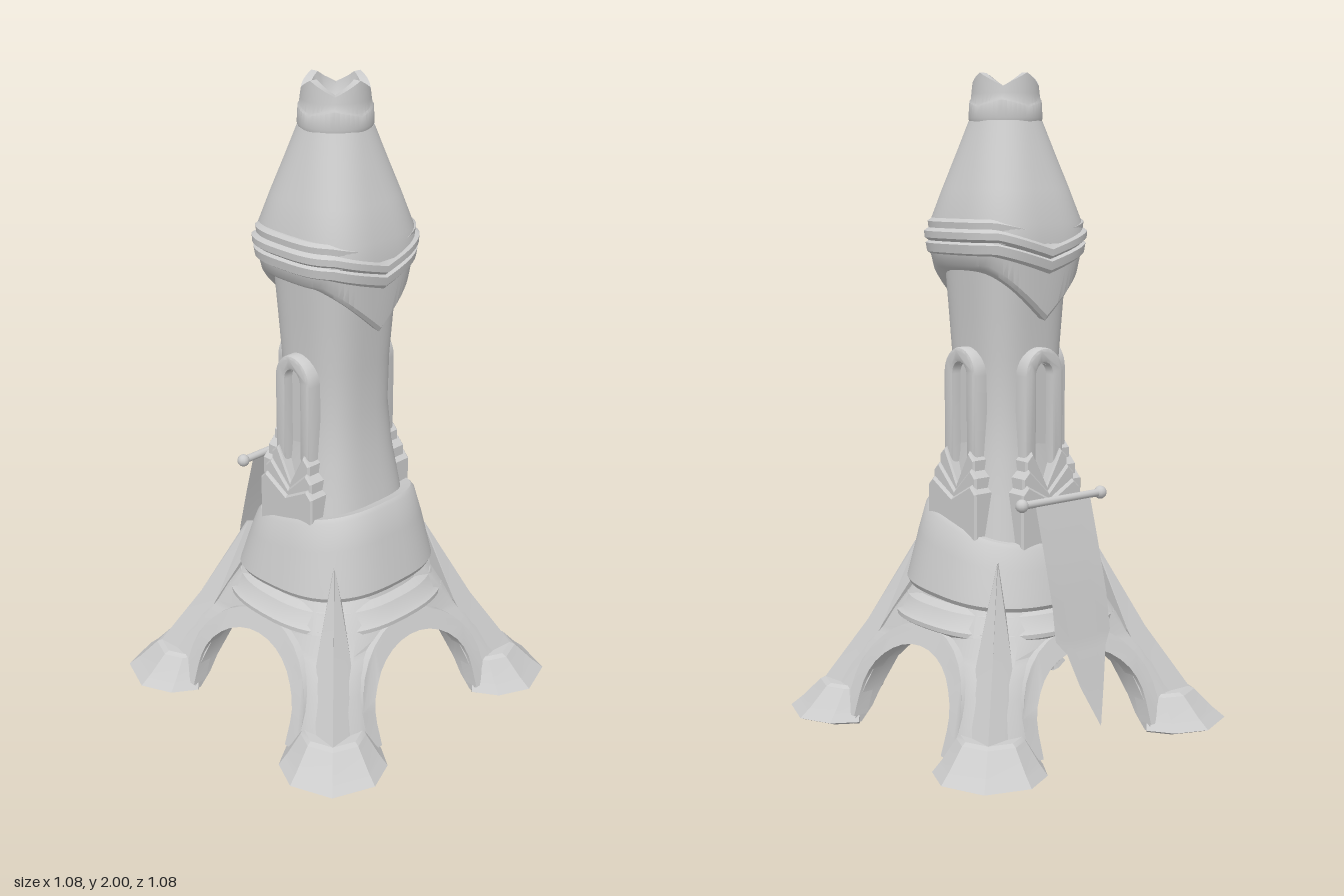
import * as THREE from 'three';
import { toCreasedNormals } from 'three/addons/utils/BufferGeometryUtils.js';

const grey = new THREE.MeshStandardMaterial({ color: 0xcccccc });
const cloth = new THREE.MeshStandardMaterial({ color: 0xcccccc, side: THREE.DoubleSide });

function mesh(name, geometry, material = grey) {
  const m = new THREE.Mesh(geometry, material);
  m.name = name;
  return m;
}

// Skin over closed rings of [x, y, z] points, with fan caps at both ends
function loft(rings, crease = 0.55) {
  const n = rings[0].length, pos = rings.flat(2), index = [];
  for (let j = 0; j < rings.length - 1; j++) {
    for (let i = 0; i < n; i++) {
      const a = j * n + i, b = j * n + (i + 1) % n;
      index.push(a, a + n, b, b, a + n, b + n);
    }
  }
  [0, rings.length - 1].forEach((j, end) => {
    const c = pos.length / 3;
    for (let k = 0; k < 3; k++) pos.push(rings[j].reduce((s, p) => s + p[k], 0) / n);
    for (let i = 0; i < n; i++) {
      const a = j * n + i, b = j * n + (i + 1) % n;
      index.push(c, end ? b : a, end ? a : b);
    }
  });
  const g = new THREE.BufferGeometry();
  g.setAttribute('position', new THREE.Float32BufferAttribute(pos, 3));
  g.setIndex(index);
  return toCreasedNormals(g, crease);
}

// Rounded-square ring; height may depend on the point
function ring(hx, hz, power, height, segments = 64) {
  const pts = [];
  for (let i = 0; i < segments; i++) {
    const t = (i / segments) * Math.PI * 2, c = Math.cos(t), s = Math.sin(t);
    const x = hx * Math.sign(c) * Math.abs(c) ** (2 / power);
    const z = hz * Math.sign(s) * Math.abs(s) ** (2 / power);
    pts.push([x, typeof height === 'function' ? height(x, z, t) : height, z]);
  }
  return pts;
}

// Upside-down U outline: legs down to y0, round top at y1
function archPoints(w, y0, y1, spring) {
  const pts = [[w, y0]];
  for (let i = 0; i <= 16; i++) {
    const t = (i / 16) * Math.PI;
    pts.push([w * Math.cos(t), spring + (y1 - spring) * Math.sin(t)]);
  }
  pts.push([-w, y0]);
  return pts.map(p => new THREE.Vector2(...p));
}

function archBand(outer, inner, depth, bevel) {
  const shape = new THREE.Shape([...outer, ...inner.slice().reverse()]);
  return new THREE.ExtrudeGeometry(shape, {
    depth, bevelEnabled: bevel > 0, bevelSize: bevel, bevelThickness: bevel, bevelSegments: 2,
  });
}

// Diagonal leg: [y, arch edge x, face z, corner x, corner z, ridge, inner, edge thickness]
function legGeometry() {
  return loft([
    [0.005, 0.225, 0.43, 0.34, 0.46, 0.45, 0.328, 0.03],
    [0.05, 0.222, 0.415, 0.32, 0.44, 0.42, 0.305, 0.055],
    [0.1, 0.22, 0.4, 0.3, 0.415, 0.395, 0.285, 0.07],
    [0.2, 0.195, 0.358, 0.27, 0.365, 0.34, 0.245, 0.08],
    [0.25, 0.15, 0.335, 0.25, 0.34, 0.31, 0.22, 0.08],
    [0.28, 0.085, 0.318, 0.235, 0.32, 0.285, 0.2, 0.08],
    [0.295, 0, 0.31, 0.225, 0.31, 0.275, 0.18, 0.08],
    [0.35, 0, 0.305, 0.195, 0.29, 0.25, 0.16, 0.08],
    [0.44, 0, 0.25, 0.15, 0.235, 0.198, 0.12, 0.08],
  ].map(([y, xi, zf, cx, cz, r, a, d]) => [
    [zf, y, xi], [cz, y, cx], [r, y, r], [cx, y, cz],
    [xi, y, zf], [xi, y, zf - d], [a, y, a], [zf - d, y, xi],
  ]), 0.7);
}

// Diagonal coordinates: u outward, v sideways
const diag = (u, v, y) => [(u + v) * Math.SQRT1_2, y, (u - v) * Math.SQRT1_2];

function footGeometry() {
  const outline = [[0.458, 0], [0.447, 0.147], [0.534, 0.166], [0.636, 0.127], [0.693, 0],
    [0.636, -0.127], [0.534, -0.166], [0.447, -0.147]];
  return loft([[0, 0.88], [0.01, 1], [0.032, 0.89], [0.042, 0.84], [0.1, 0.6], [0.108, 0.53]]
    .map(([y, s]) => outline.map(([u, v]) => diag(0.45 + (u - 0.45) * s, v * s, y))), 0.35);
}

function spikeGeometry() {
  return loft([[0.08, 0.5, 0.085, 0.1], [0.3, 0.385, 0.05, 0.055], [0.56, 0.28, 0.001, 0.006]]
    .map(([y, u, v, h]) => [diag(u - 0.06, 0, y), diag(u, v, y), diag(u + h, 0, y), diag(u, -v, y)]), 0.2);
}

// Moulding round one arch, bent to the leaning face
function archTrimGeometry() {
  const g = archBand(archPoints(0.27, 0.03, 0.352, 0.1), archPoints(0.22, 0.03, 0.29, 0.1), 0.05, 0);
  const p = g.attributes.position;
  for (let i = 0; i < p.count; i++) {
    const y = p.getY(i), lean = y < 0.2 ? 0.43 - 0.325 * y : 0.365 - (y - 0.2) * 0.45;
    p.setZ(i, p.getZ(i) + lean - 0.038);
  }
  return toCreasedNormals(g, 0.5);
}

// Raised arched window with a fan of pointed blades at its foot
function createWindow() {
  const g = new THREE.Group();
  g.name = 'window';
  const frame = mesh('windowFrame', toCreasedNormals(archBand(
    archPoints(0.065, 0.74, 1.178, 1.105), archPoints(0.042, 0.74, 1.152, 1.105), 0.07, 0.01), 0.6));
  frame.position.z = 0.105;
  const inner = mesh('windowInnerFrame', toCreasedNormals(archBand(
    archPoints(0.045, 0.74, 1.155, 1.105), archPoints(0.034, 0.74, 1.14, 1.105), 0.06, 0), 0.6));
  inner.position.z = 0.105;
  const pane = mesh('windowPane', new THREE.ExtrudeGeometry(
    new THREE.Shape(archPoints(0.04, 0.74, 1.145, 1.105)), { depth: 0.06, bevelEnabled: false }));
  pane.position.z = 0.092;
  g.add(frame, inner, pane);
  [[0.11, 0.775, 0.725, 0.216], [0.097, 0.82, 0.745, 0.205], [0.078, 0.87, 0.765, 0.196]].forEach(([w, top, notch, z]) => {
    const s = new THREE.Shape([[-w, 0.56], [w, 0.56], [w, top - 0.02], [w - 0.02, top], [0, notch], [-w + 0.02, top], [-w, top - 0.02]]
      .map(p => new THREE.Vector2(...p)));
    const blade = mesh('windowBlades', new THREE.ExtrudeGeometry(s,
      { depth: z - 0.106, bevelSize: 0.006, bevelThickness: 0.006, bevelSegments: 1 }));
    blade.position.z = 0.1;
    g.add(blade);
  });
  return g;
}

function createBanner() {
  const g = new THREE.Group();
  g.name = 'banner';
  const pole = mesh('bannerPole', new THREE.CylinderGeometry(0.012, 0.012, 0.33, 12));
  pole.rotation.z = Math.PI / 2;
  pole.position.set(0, 0.74, -0.262);
  g.add(pole);
  for (const s of [-1, 1]) {
    const knob = mesh('poleKnob', new THREE.SphereGeometry(0.02, 12, 8));
    knob.position.set(s * 0.158, 0.74, -0.262);
    g.add(knob);
  }
  // Rows of the cloth: height, half width, z
  const rows = [[0.745, 0.11, -0.265], [0.6, 0.11, -0.305], [0.45, 0.11, -0.343], [0.34, 0.11, -0.36],
    [0.3, 0.078, -0.375], [0.2, 0.048, -0.4], [0.08, 0, -0.44]];
  const sheet = new THREE.PlaneGeometry(2, 1, 4, rows.length - 1), p = sheet.attributes.position;
  for (let i = 0; i < p.count; i++) {
    const [y, w, z] = rows[Math.floor(i / 5)];
    p.setXYZ(i, p.getX(i) * w, y, z);
  }
  sheet.computeVertexNormals();
  g.add(mesh('bannerCloth', sheet, cloth));
  return g;
}

export function createModel() {
  const model = new THREE.Group();
  model.name = 'tower';

  // Four legs, feet, spikes and arches
  const parts = { leg: legGeometry(), foot: footGeometry(), spike: spikeGeometry(), archTrim: archTrimGeometry() };
  for (let i = 0; i < 4; i++) {
    for (const [name, geometry] of Object.entries(parts)) {
      const m = mesh(name, geometry);
      m.rotation.y = i * Math.PI / 2;
      model.add(m);
    }
  }

  // Base block and skirt
  model.add(mesh('base', loft([[0.295, 0.29], [0.335, 0.308], [0.345, 0.322], [0.358, 0.322], [0.368, 0.308], [0.405, 0.288], [0.42, 0.262], [0.46, 0.25]]
    .map(([y, h]) => ring(h, h, 2.5, y)))));

  // Tilted belt
  const tilt = (y, k) => (x, z) => y + k * z;
  model.add(mesh('belt', loft([[0.25, 0.43, 0.055], [0.275, 0.43, 0.055], [0.283, 0.445, 0.06], [0.278, 0.465, 0.07],
    [0.25, 0.57, 0.17], [0.228, 0.645, 0.25], [0.218, 0.658, 0.26], [0.19, 0.655, 0.26]]
    .map(([h, y, k]) => ring(h, h, 2.7, tilt(y, k))))));

  // Waisted shaft
  model.add(mesh('shaft', loft([[0.5, 0.215], [0.62, 0.195], [0.74, 0.175], [0.86, 0.155], [1, 0.143], [1.15, 0.146], [1.3, 0.156], [1.5, 0.17]]
    .map(([y, h]) => ring(h, h, 3, y)))));

  for (const a of [Math.PI / 2, -Math.PI / 2, Math.PI]) {
    const w = createWindow();
    w.rotation.y = a;
    model.add(w);
  }
  model.add(createBanner());

  // Ridged collar dipping to a point at front and back
  const dip = (y, d) => x => y - d * Math.max(0, 1 - Math.abs(x) / 0.175);
  model.add(mesh('collar', loft([[0.16, 1.43, 0.155], [0.188, 1.425, 0.155], [0.198, 1.435, 0.15], [0.206, 1.465, 0.055],
    [0.216, 1.471, 0.05], [0.22, 1.497, 0.05], [0.211, 1.504, 0.05], [0.223, 1.513, 0.05], [0.224, 1.533, 0.05],
    [0.212, 1.543, 0.045], [0.214, 1.562, 0.04], [0.204, 1.572, 0.04], [0.18, 1.572, 0.04]]
    .map(([h, y, d]) => ring(h, h * 0.975, 3, dip(y, d))))));

  // Tapering roof
  model.add(mesh('roof', loft([[1.5, 0.206, 0.212, 3.2], [1.56, 0.2, 0.207, 3.2], [1.66, 0.17, 0.174, 3], [1.76, 0.139, 0.141, 2.6], [1.86, 0.108, 0.108, 2.2]]
    .map(([y, hx, hz, n]) => ring(hx, hz, n, y)))));

  // Hollow crown with four points
  const points = (y, d) => (x, z, t) => {
    const q = (t / (Math.PI / 2)) % 1;
    return y - d * (1 - Math.abs(1 - 2 * q));
  };
  model.add(mesh('crown', loft([[0.09, 1.855, 0], [0.109, 1.857, 0], [0.112, 1.868, 0], [0.109, 1.9, -0.02], [0.105, 1.906, -0.02],
    [0.103, 1.94, 0], [0.1, 2, 0.04], [0.074, 2, 0.04], [0.066, 1.93, 0], [0.048, 1.905, 0], [0.02, 1.893, 0]]
    .map(([r, y, d]) => ring(r, r, 2, points(y, d), 48)))));

  return model;
}
